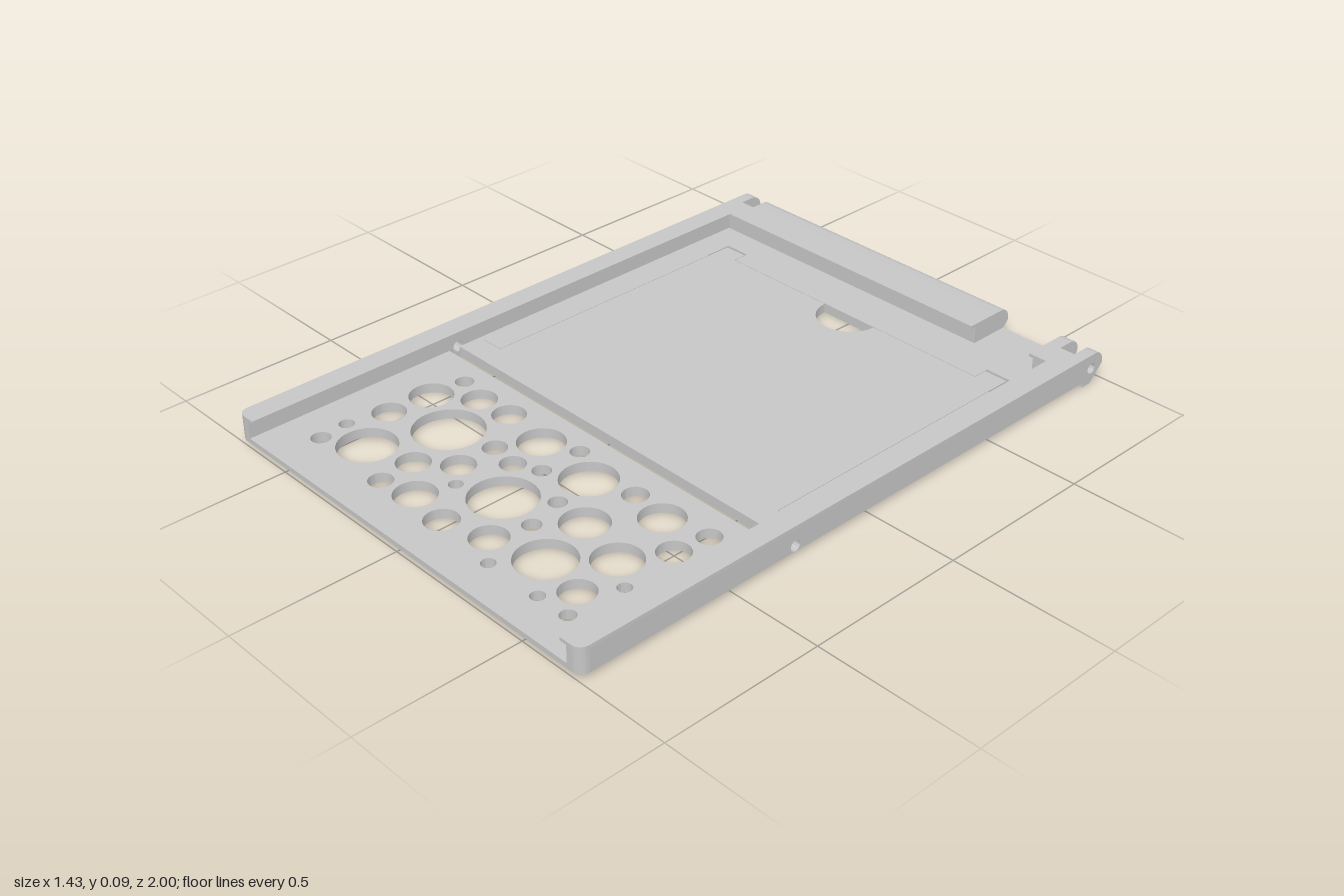
import * as THREE from 'three';
import { toCreasedNormals } from 'three/addons/utils/BufferGeometryUtils.js';

// vent holes: x, z, radius
const VENTS = [
  [-.497, .386, .028], [-.392, .416, .053], [-.272, .406, .05], [-.102, .431, .07], [.006, .386, .028],
  [.123, .456, .083], [.263, .416, .038], [.388, .436, .066], [.532, .406, .036], [-.503, .501, .065],
  [-.327, .576, .105], [-.168, .541, .036], [-.073, .556, .038], [.006, .521, .028], [.148, .586, .027],
  [.267, .596, .07], [.517, .516, .048], [-.513, .641, .05], [-.168, .666, .05], [.033, .676, .099],
  [.18, .701, .028], [.443, .641, .072], [.542, .706, .021], [-.545, .763, .023], [-.417, .786, .087],
  [-.263, .746, .05], [-.101, .728, .021], [.318, .771, .087], [.148, .816, .055], [.474, .801, .052],
  [-.535, .856, .029], [-.253, .861, .036], [-.138, .834, .062], [.003, .856, .05], [.232, .886, .021],
  [.42, .883, .021], [.529, .879, .023],
];
const W = 0.713;       // half width
const R = 0.03;        // front corner radius
const BACK = -0.915;   // where the rails end and the hinge lugs begin

export function createModel() {
  const group = new THREE.Group();
  const grey = new THREE.MeshStandardMaterial({ color: 0xc6c6c6 });

  function add(name, geometry) {
    const mesh = new THREE.Mesh(toCreasedNormals(geometry, 0.5), grey);
    mesh.name = name;
    group.add(mesh);
  }
  // closed outline, always wound anticlockwise so that hole walls face inwards
  function outline(pts) {
    const v = pts.map(([a, b]) => new THREE.Vector2(a, b));
    return new THREE.Shape(THREE.ShapeUtils.isClockWise(v) ? v.reverse() : v);
  }
  const plan = pts => outline(pts.map(([x, z]) => [x, -z]));
  const circle = (a, b, r) => new THREE.Path().absarc(a, b, r, 0, Math.PI * 2, true);
  const extrude = (shape, depth) =>
    new THREE.ExtrudeGeometry(shape, { depth, bevelEnabled: false, curveSegments: 18 });

  // plan outline (x, z) raised from y0 to y1
  const slab = (shape, y0, y1) => extrude(shape, y1 - y0).rotateX(-Math.PI / 2).translate(0, y0, 0);
  // side profile (z, y) drawn out from x0 to x1
  function across(pts, x0, x1, hole) {
    const shape = outline(pts.map(([z, y]) => [-z, y]));
    if (hole) shape.holes.push(circle(-hole[0], hole[1], hole[2]));
    return extrude(shape, x1 - x0).rotateY(Math.PI / 2).translate(x0, 0, 0);
  }
  function box(name, x0, x1, y0, y1, z0, z1) {
    const g = new THREE.BoxGeometry(x1 - x0, y1 - y0, z1 - z0);
    add(name, g.translate((x0 + x1) / 2, (y0 + y1) / 2, (z0 + z1) / 2));
  }
  const rect = (x, z0, z1) => plan([[-x, z0], [x, z0], [x, z1], [-x, z1]]);
  // arc of points round the front corner
  const corner = s => Array.from({ length: 9 }, (_, i) => {
    const a = i / 8 * Math.PI / 2;
    return [s * (W - R + R * Math.cos(a)), 1 - R + R * Math.sin(a)];
  });

  function cutVents(shape) {
    for (const [x, z, r] of VENTS) shape.holes.push(circle(x, -z, r));
    return shape;
  }
  // hairline gap round the door, wider behind its two tabs, with a finger notch
  function cutDoor(shape) {
    const outer = [[.491, -.7], [.491, -.754], [.575, -.754], [.575, -.66], [.572, -.66],
      [.572, .194], [.645, .194]];
    const inner = [[.645, .196], [.57, .196], [.57, -.744], [.493, -.744], [.493, -.698]];
    const notch = Array.from({ length: 25 }, (_, i) => {
      const a = i / 24 * Math.PI;
      return [.1 * Math.cos(a), -.698 + .1 * Math.sin(a)];
    });
    const flip = list => list.map(([x, z]) => [-x, z]).reverse();
    shape.holes.push(plan([...outer, ...inner, ...notch, ...flip(inner), ...flip(outer)]));
    return shape;
  }

  // lower floor layer with cross slot, its underside drawn in for the chamfered rim
  const base = cutDoor(cutVents(plan([[-W, BACK], [W, BACK], ...corner(1), ...corner(-1).reverse()])));
  base.holes.push(rect(.664, .273, .305));
  const lower = slab(base, 0, .015);
  const p = lower.attributes.position;
  for (let i = 0; i < p.count; i++) {
    if (p.getY(i) > .001) continue;
    if (Math.abs(p.getX(i)) > .675) p.setX(i, p.getX(i) - Math.sign(p.getX(i)) * .015);
    if (p.getZ(i) > .96) p.setZ(i, p.getZ(i) - .012);
  }
  lower.computeVertexNormals();
  add('floorUnderside', lower);
  add('doorPanel', slab(cutDoor(rect(.665, BACK, .273)), .015, .03));
  add('ventPanel', slab(cutVents(rect(.665, .31, 1)), .015, .03));

  // hinge lug profile (z, y) with a rounded top and slanted underside
  const lug = [[BACK, 0], [-.95, 0], [-1, .05]];
  for (let i = 0; i <= 8; i++) {
    const a = i / 8 * Math.PI / 2;
    lug.push([-.963 - .037 * Math.cos(a), .058 + .037 * Math.sin(a)]);
  }
  lug.push([BACK, .095]);
  const pin = [-.95, .05, .017];

  for (const s of [1, -1]) {
    const side = s > 0 ? 'left' : 'right';
    const span = (a, b) => s > 0 ? [a, b] : [-b, -a];
    // rail wall with its side hole, rounded front end and overhanging lip
    add(side + 'RailWall', across([[BACK, .015], [1 - R, .015], [1 - R, .085], [BACK, .085]],
      ...span(.665, W), [.278, .033, .017]));
    add(side + 'RailFront', slab(plan([[s * .665, 1 - R], ...corner(s), [s * .665, 1]]), .015, .085));
    add(side + 'RailLip', slab(plan([[s * .642, BACK], [s * W, BACK], ...corner(s), [s * .642, 1]]),
      .085, .095));
    // pair of hinge lugs either side of the slot
    add(side + 'OuterLug', across(lug, ...span(.675, W), pin));
    add(side + 'InnerLug', across(lug, ...span(.582, .625), pin));
  }

  // back bar with lip, and the short stub beyond the opening
  add('backBar', across(lug, -.582, .368));
  box('backBarWall', -.665, .368, .03, .085, BACK, -.845);
  box('backBarLip', -.642, .368, .085, .095, BACK, -.825);
  box('stubWall', .582, .665, .03, .085, BACK, -.845);
  box('stubLip', .582, .642, .085, .095, BACK, -.825);
  add('openingSill', across([[BACK, 0], [-.95, 0], [-.98, .03], [BACK, .03]], .368, .582));

  return group;
}
